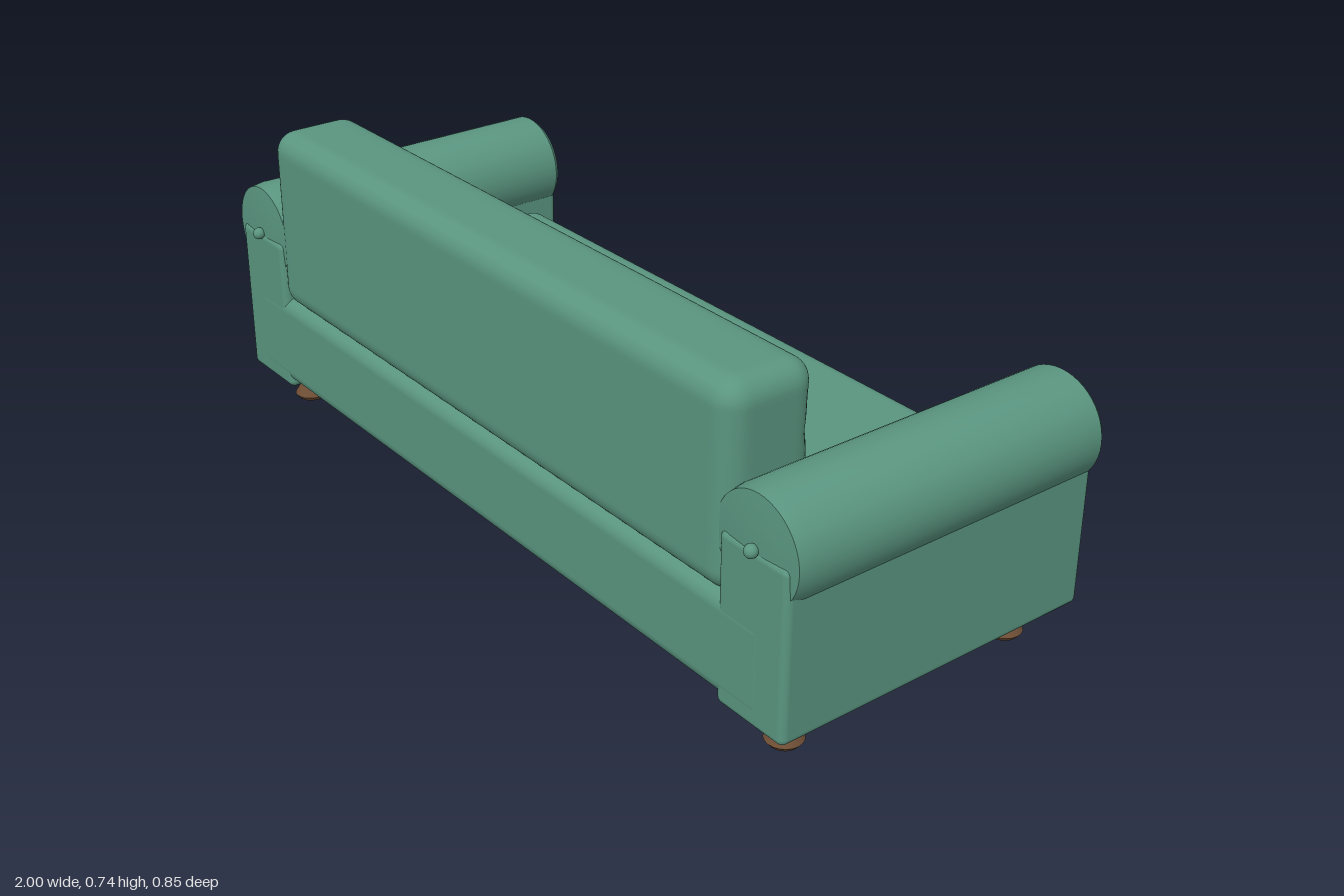
import * as THREE from 'three';
import { toCreasedNormals, mergeVertices } from 'three/addons/utils/BufferGeometryUtils.js';
import { RoundedBoxGeometry } from 'three/addons/geometries/RoundedBoxGeometry.js';

const upholstery = new THREE.MeshStandardMaterial({ color: 0x5a9580 });
upholstery.name = 'green upholstery';
const wood = new THREE.MeshStandardMaterial({ color: 0x6e4e35 });
wood.name = 'brown wood';

function add(parent, name, geometry, material, x = 0, y = 0, z = 0) {
  const mesh = new THREE.Mesh(geometry, material);
  mesh.name = name;
  mesh.position.set(x, y, z);
  parent.add(mesh);
  return mesh;
}

// Rounded block given by its min and max corners
function block(parent, name, min, max, radius) {
  const size = max.map((v, i) => v - min[i]);
  const mid = max.map((v, i) => (v + min[i]) / 2);
  return add(parent, name, new RoundedBoxGeometry(...size, 6, radius), upholstery, ...mid);
}

function lathe(points, segments) {
  return new THREE.LatheGeometry(points.map(([r, y]) => new THREE.Vector2(r, y)), segments);
}

// Button grid: columns 0.25 apart, diamonds 0.28 tall
const COL = 0.25, ROW = 0.28, TOP_ROW = 0.65, TUFT = 0.03;

// Depth of the tufting at a point of the backrest
function tuftDepth(x, y) {
  const a = x / COL, b = (y - TOP_ROW) / ROW;
  const wave = (t) => Math.abs(Math.sin(Math.PI * t));
  if (b < 0) return TUFT * (1 - Math.pow(wave(a + b) * wave(a - b), 0.3));
  const fade = Math.max(0, 1 - (y - TOP_ROW) / 0.06);
  return TUFT * fade * (1 - Math.pow(wave(a), 0.6));
}

// Rounded backrest whose face towards -z is tufted
function backrestGeometry() {
  const r = 0.05;
  const min = new THREE.Vector3(-0.81, 0.305, 0.19), max = new THREE.Vector3(0.81, 0.735, 0.403);
  const size = max.clone().sub(min);
  let geo = new THREE.BoxGeometry(size.x, size.y, size.z, 180, 52, 18);
  geo.translate(0, (min.y + max.y) / 2, (min.z + max.z) / 2);
  geo.deleteAttribute('normal');
  geo.deleteAttribute('uv');
  geo = mergeVertices(geo);
  const innerMin = min.clone().addScalar(r), innerMax = max.clone().subScalar(r);
  const pos = geo.attributes.position, point = new THREE.Vector3();
  for (let i = 0; i < pos.count; i++) {
    point.fromBufferAttribute(pos, i);
    const core = point.clone().clamp(innerMin, innerMax);
    const dir = point.sub(core).normalize();
    const facing = Math.max(0, -dir.z);
    const p = core.addScaledVector(dir, r);
    pos.setXYZ(i, p.x, p.y, p.z + tuftDepth(p.x, p.y) * facing ** 2);
  }
  geo.computeVertexNormals();
  return geo;
}

export function createModel() {
  const sofa = new THREE.Group();
  sofa.name = 'sofa';

  // Seat
  block(sofa, 'seatBase', [-0.93, 0.095, -0.38], [0.93, 0.318, 0.4055], 0.035);
  block(sofa, 'seatCushion', [-0.8, 0.27, -0.327], [0.8, 0.372, 0.27], 0.042);

  // Backrest
  const back = new THREE.Group();
  back.name = 'backrest';
  sofa.add(back);
  add(back, 'tuftedBack', backrestGeometry(), upholstery);
  const tuftButton = new THREE.SphereGeometry(0.009, 10, 8);
  for (let row = 0; row < 3; row++) {
    const count = row % 2 ? 6 : 7;
    for (let i = 0; i < count; i++) {
      add(back, 'tuftButton', tuftButton, upholstery,
        (i - (count - 1) / 2) * COL, TOP_ROW - row * ROW / 2, 0.19 + TUFT - 0.008);
    }
  }

  // Rolled arms: the lathe axis is turned to run along z
  const roll = toCreasedNormals(lathe([
    [0, -0.406], [0.035, -0.404], [0.065, -0.399], [0.09, -0.388], [0.106, -0.378], [0.115, -0.367],
    [0.115, 0.365], [0.11, 0.396], [0.07, 0.4], [0, 0.403],
  ], 48).rotateX(Math.PI / 2), 0.6);
  const knob = new THREE.SphereGeometry(0.014, 16, 12);

  // Turned feet
  const foot = toCreasedNormals(lathe([
    [0, 0], [0.031, 0], [0.04, 0.011], [0.022, 0.04], [0.049, 0.082], [0.049, 0.09], [0, 0.09],
  ], 20), 0.5);

  for (const side of [-1, 1]) {
    const arm = new THREE.Group();
    arm.name = side > 0 ? 'leftArm' : 'rightArm';
    sofa.add(arm);
    const panel = block(arm, 'armPanel', [0.79, 0.083, -0.378], [0.977, 0.457, 0.405], 0.016);
    panel.position.x *= side;
    add(arm, 'armRoll', roll, upholstery, side * 0.885, 0.457, 0);
    for (const z of [-0.408, 0.41]) add(arm, 'armButton', knob, upholstery, side * 0.885, 0.457, z);
    for (const z of [-0.28, 0.307]) add(sofa, 'foot', foot, wood, side * 0.878, 0, z);
  }
  return sofa;
}
